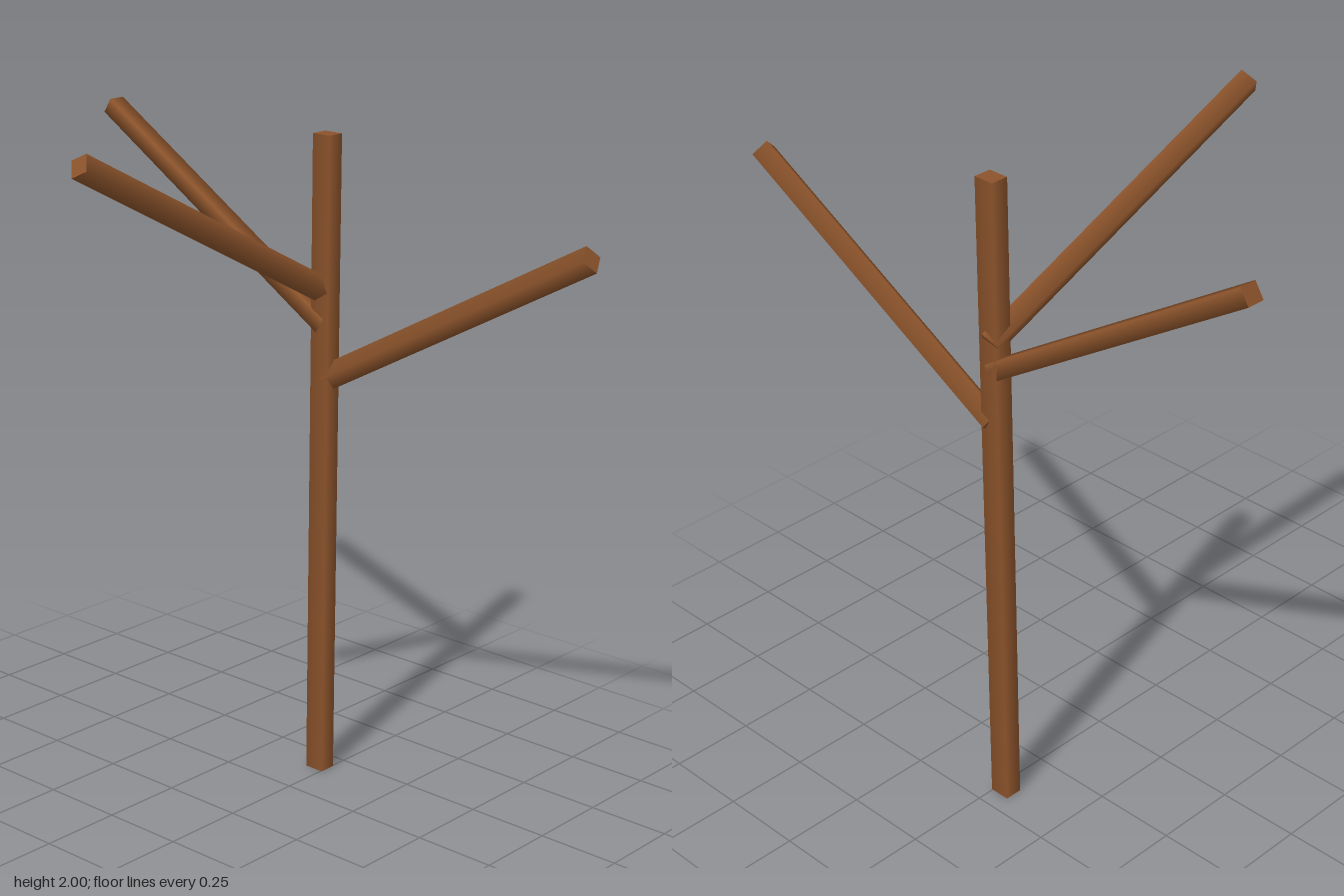
import * as THREE from 'three';

const bark = new THREE.MeshStandardMaterial({ color: 0x8b532b });

// Four-sided beam between two points; roll turns its cross-section about its axis.
function limb(name, from, to, width, depth, roll) {
  const a = new THREE.Vector3(...from);
  const b = new THREE.Vector3(...to);
  const dir = b.clone().sub(a);
  const length = dir.length();
  dir.normalize();

  const geometry = new THREE.CylinderGeometry(Math.SQRT1_2, Math.SQRT1_2, length, 4);
  geometry.rotateY(Math.PI / 4);
  geometry.scale(width, 1, depth);
  geometry.rotateY(roll);

  // Level sideways axis, so the roll is measured from the horizontal.
  const side = new THREE.Vector3(0, 1, 0).cross(dir);
  if (side.lengthSq() < 1e-6) side.set(1, 0, 0);
  side.normalize();
  const third = side.clone().cross(dir);

  const mesh = new THREE.Mesh(geometry, bark);
  mesh.name = name;
  mesh.quaternion.setFromRotationMatrix(new THREE.Matrix4().makeBasis(side, dir, third));
  mesh.position.copy(a).add(b).multiplyScalar(0.5);
  return mesh;
}

export function createModel() {
  const tree = new THREE.Group();
  tree.name = 'bareTree';
  tree.add(
    limb('trunk', [0.42, 0, -0.028], [0.42, 1.945, -0.028], 0.053, 0.062, 0),
    limb('frontBranch', [0.426, 1.235, -0.02], [0.415, 1.73, 0.884], 0.054, 0.054, Math.PI / 4),
    limb('backBranch', [0.42, 1.392, -0.027], [0.42, 1.926, -0.884], 0.053, 0.05, 0),
    limb('sideBranch', [0.442, 1.479, -0.031], [-0.453, 1.965, -0.119], 0.053, 0.053, Math.PI / 6),
  );
  return tree;
}
